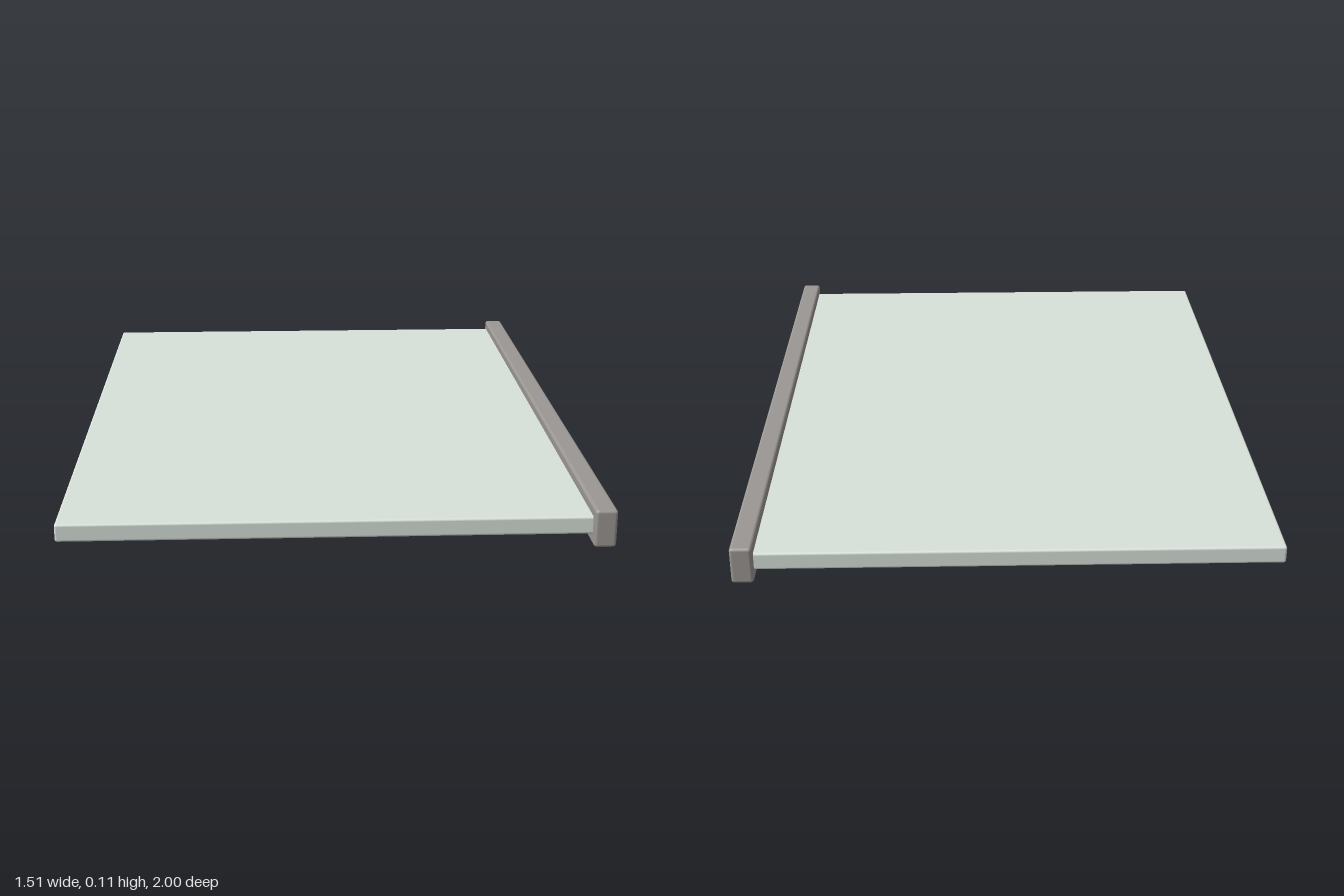
import * as THREE from 'three';
import { RoundedBoxGeometry } from 'three/addons/geometries/RoundedBoxGeometry.js';

// Softly rounded slab spanning two opposite corners
function slab(name, min, max, radius, color) {
  const size = max.map((v, i) => v - min[i]);
  const mesh = new THREE.Mesh(
    new RoundedBoxGeometry(...size, 4, radius),
    new THREE.MeshStandardMaterial({ color })
  );
  mesh.name = name;
  mesh.position.set(...max.map((v, i) => (v + min[i]) / 2));
  return mesh;
}

export function createModel() {
  const group = new THREE.Group();
  group.name = 'shelf';

  // Pale panel, its edge seated inside the trim
  group.add(slab('shelfPanel', [-0.755, 0.03, -0.98], [0.71, 0.081, 0.975], 0.007, 0xd9e2da));

  // Taller edge strip running the full depth
  group.add(slab('edgeTrim', [0.694, 0, -1], [0.755, 0.108, 1], 0.009, 0x9b9793));

  return group;
}
